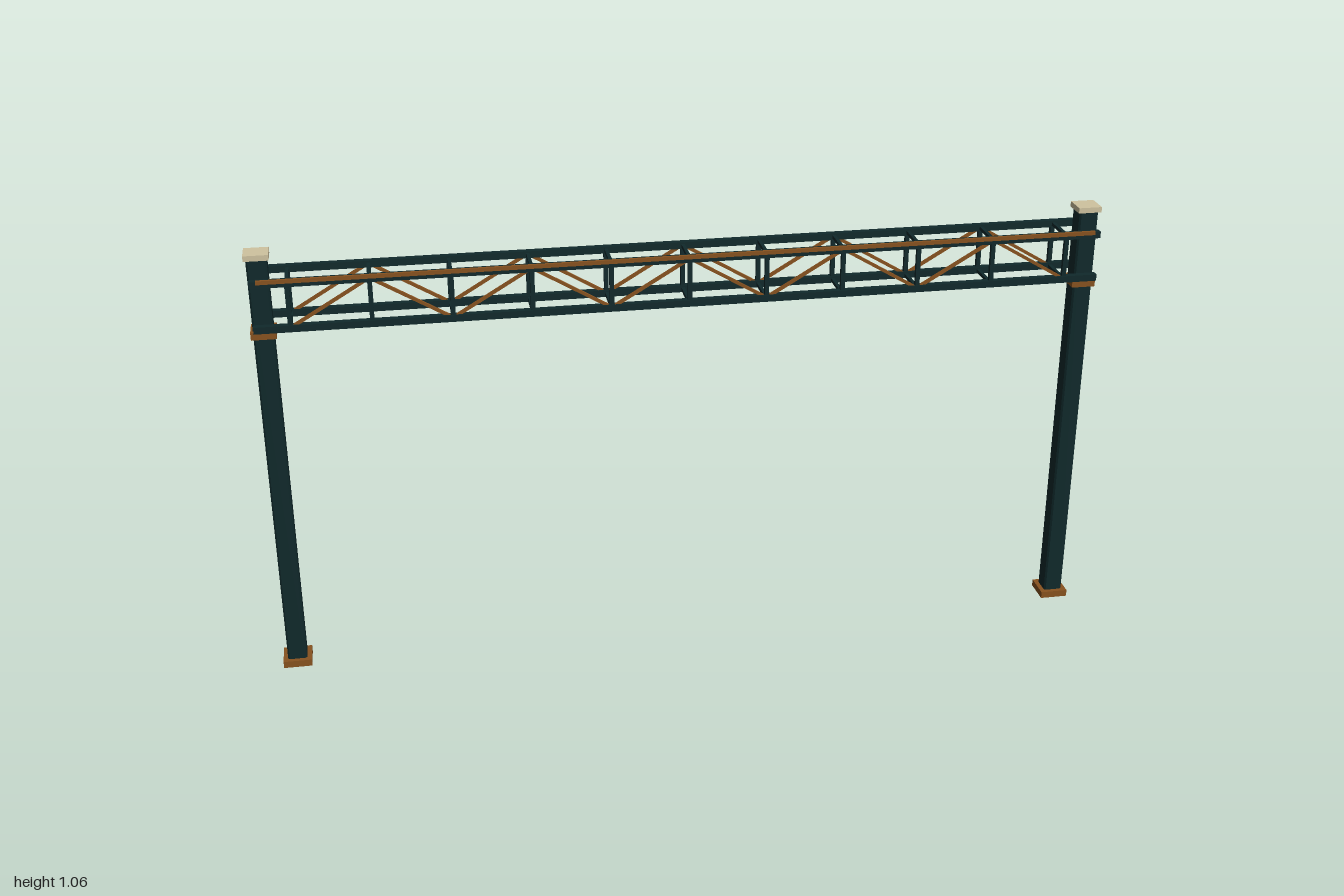
import * as THREE from 'three';

export function createModel() {
  const steel = new THREE.MeshStandardMaterial({ name: 'dark teal steel', color: 0x10292b });
  const copper = new THREE.MeshStandardMaterial({ name: 'copper', color: 0x88521f });
  const stone = new THREE.MeshStandardMaterial({ name: 'pale cap', color: 0xcfc3a0 });

  const model = new THREE.Group();
  model.name = 'trussGantry';
  const CZ = -0.0015; // centre line of posts and truss

  const box = (parent, name, mat, size, pos) => {
    const mesh = new THREE.Mesh(new THREE.BoxGeometry(...size), mat);
    mesh.name = name;
    mesh.position.set(...pos);
    parent.add(mesh);
    return mesh;
  };

  // Square post section with small chamfered corners
  const h = 0.023, c = 0.004;
  const section = new THREE.Shape([
    [-h + c, -h], [h - c, -h], [h, -h + c], [h, h - c],
    [h - c, h], [-h + c, h], [-h, h - c], [-h, -h + c],
  ].map(([x, y]) => new THREE.Vector2(x, y)));
  const postGeometry = new THREE.ExtrudeGeometry(section, { depth: 1.04, bevelEnabled: false });
  postGeometry.rotateX(-Math.PI / 2);

  // Posts with foot plate, collar and cap
  for (const side of [-1, 1]) {
    const post = new THREE.Group();
    post.name = side > 0 ? 'leftPost' : 'rightPost';
    post.position.set(side * 0.966, 0, CZ);
    const shaft = new THREE.Mesh(postGeometry, steel);
    shaft.name = 'shaft';
    shaft.position.y = 0.005;
    post.add(shaft);
    box(post, 'footPlate', copper, [0.068, 0.017, 0.068], [0, 0.0085, 0]);
    box(post, 'collar', copper, [0.057, 0.018, 0.057], [0, 0.866, 0]);
    box(post, 'cap', stone, [0.056, 0.013, 0.056], [0, 1.0495, 0]);
    model.add(post);
  }

  const truss = new THREE.Group();
  truss.name = 'truss';
  truss.position.z = CZ;
  model.add(truss);
  const top = 0.997, bottom = 0.89, half = 0.0485, bay = 0.1808;
  const rise = top - bottom;

  // Two side frames: chords, uprights and zigzag braces
  for (const z of [-half, half]) {
    for (const y of [top, bottom]) box(truss, 'chord', steel, [1.97, 0.016, 0.016], [0, y, z]);
    for (let i = -5; i <= 5; i++) {
      box(truss, 'upright', steel, [0.01, rise, 0.01], [i * bay, (top + bottom) / 2, z]);
    }
    for (let i = -5; i < 5; i++) {
      const brace = box(truss, 'brace', copper, [Math.hypot(bay, rise), 0.007, 0.007],
        [(i + 0.5) * bay, (top + bottom) / 2, z]);
      brace.rotation.z = (i % 2 ? 1 : -1) * Math.atan2(rise, bay);
    }
  }

  // Cross ties joining the frames
  for (let i = -5; i <= 5; i++) {
    for (const y of [top, bottom]) box(truss, 'crossTie', steel, [0.008, 0.008, 2 * half], [i * bay, y, 0]);
  }

  // Thin copper rail along the front upper chord
  box(truss, 'frontRail', copper, [1.94, 0.009, 0.007], [0, 1.0035, 0.0575]);

  return model;
}
